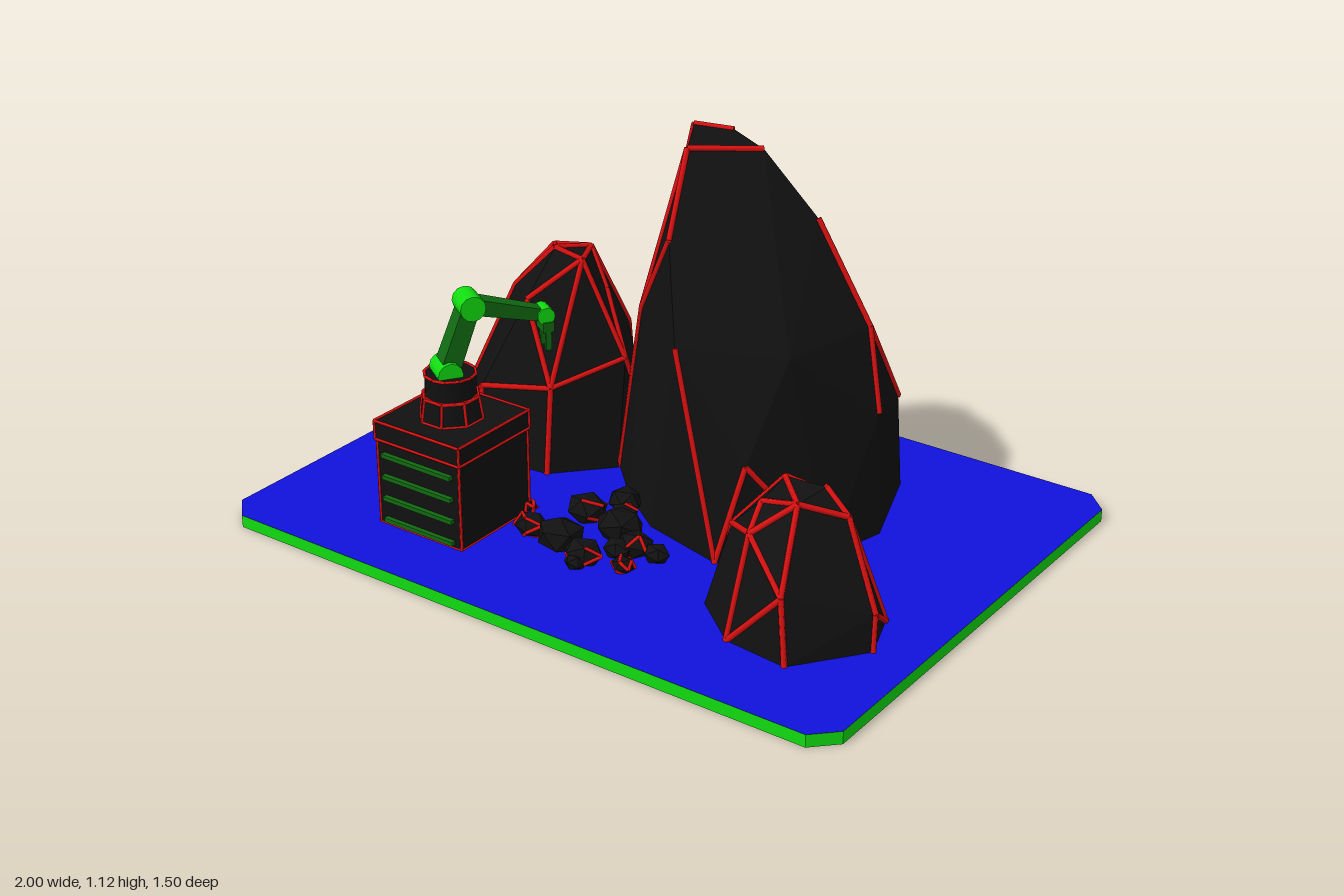
import * as THREE from 'three';
import { mergeGeometries } from 'three/addons/utils/BufferGeometryUtils.js';
import { ConvexGeometry } from 'three/addons/geometries/ConvexGeometry.js';

const mat = (name, color) => Object.assign(new THREE.MeshStandardMaterial({ color }), { name });
const V = (x, y, z) => new THREE.Vector3(x, y, z);
const FLOOR = 0.036;

function seeded(seed) {
  return () => {
    seed = (seed * 16807) % 2147483647;
    return seed / 2147483647;
  };
}

// Slim rod between two points
function rod(a, b, r, sides = 5) {
  const dir = b.clone().sub(a);
  const geo = new THREE.CylinderGeometry(r, r, dir.length(), sides);
  geo.applyQuaternion(new THREE.Quaternion().setFromUnitVectors(V(0, 1, 0), dir.normalize()));
  const mid = a.clone().add(b).multiplyScalar(0.5);
  return geo.translate(mid.x, mid.y, mid.z);
}

// Rods along the sharp edges of a geometry, leaving some out
function edgeRods(geo, r, angle, keep = 1, seed = 1, minY = -10) {
  const p = new THREE.EdgesGeometry(geo, angle).attributes.position;
  const rnd = seeded(seed);
  const rods = [];
  for (let i = 0; i < p.count; i += 2) {
    const a = new THREE.Vector3().fromBufferAttribute(p, i);
    const b = new THREE.Vector3().fromBufferAttribute(p, i + 1);
    if (rnd() > keep || Math.max(a.y, b.y) < minY) continue;
    rods.push(rod(a, b, r));
  }
  return mergeGeometries(rods);
}

export function createModel() {
  const model = new THREE.Group();
  model.name = 'miningDiorama';
  const black = mat('black', 0x111111);
  const red = mat('red', 0xdd1111);
  const green = mat('green', 0x11dd11);
  const darkGreen = mat('darkGreen', 0x116a11);
  const blue = mat('blue', 0x1111dd);

  const add = (parent, name, geo, material, x = 0, y = 0, z = 0) => {
    const mesh = new THREE.Mesh(geo, material);
    mesh.name = name;
    mesh.position.set(x, y, z);
    parent.add(mesh);
    return mesh;
  };

  // Base plate with clipped corners: green rim, black underside, blue top
  const c = 0.065;
  const outline = new THREE.Shape([
    [-1 + c, -0.75], [1 - c, -0.75], [1, -0.75 + c], [1, 0.75 - c],
    [1 - c, 0.75], [-1 + c, 0.75], [-1, 0.75 - c], [-1, -0.75 + c],
  ].map(([x, y]) => new THREE.Vector2(x, y)));
  add(model, 'basePlate', new THREE.ExtrudeGeometry(outline, { depth: FLOOR, bevelEnabled: false })
    .rotateX(-Math.PI / 2), [black, green]);
  add(model, 'groundSurface', new THREE.ShapeGeometry(outline).rotateX(-Math.PI / 2), blue, 0, FLOOR + 0.001, 0);

  // Faceted boulder: footprint [x, z] plus upper corners [x, y, z], with glowing cracks on its edges
  const boulder = (name, foot, upper, keep, seed) => {
    const group = new THREE.Group();
    group.name = name;
    const pts = foot.map(([x, z]) => V(x, FLOOR, z)).concat(upper.map((p) => V(...p)));
    const geo = new ConvexGeometry(pts);
    add(group, name + 'Stone', geo, black);
    add(group, name + 'Cracks', edgeRods(geo, 0.0085, 9, keep, seed, 0.06), red);
    model.add(group);
  };

  boulder('largeRock', [
    [-0.26, -0.11], [-0.275, -0.29], [-0.16, -0.45], [0.19, -0.575], [0.34, -0.585], [0.46, -0.49],
    [0.565, -0.2], [0.52, -0.02], [0.29, 0.2], [0.03, 0.135], [-0.13, 0.02],
  ], [
    [0.3, 0.285, -0.58], [0.48, 0.35, -0.42], [0.35, 0.32, 0.145], [0.55, 0.4, -0.2],
    [-0.215, 0.52, -0.21], [-0.07, 0.64, 0.035], [0.14, 0.62, 0.175], [0.5, 0.636, -0.22],
    [0.4, 0.6, 0.02], [-0.14, 0.6, -0.39], [0.225, 0.62, -0.45],
    [-0.107, 0.925, -0.2], [0.06, 0.88, 0.09], [0.34, 0.915, -0.2], [0.1, 0.91, -0.335],
    [-0.05, 1.108, -0.18], [0.03, 1.095, -0.035], [0.19, 1.09, -0.16], [0.06, 1.105, -0.21],
  ], 0.6, 7919);

  boulder('leftRock', [
    [-0.82, -0.07], [-0.78, -0.24], [-0.72, -0.33], [-0.42, -0.405], [-0.27, -0.28],
    [-0.257, -0.1], [-0.4, 0.055], [-0.635, 0.08],
  ], [
    [-0.797, 0.19, -0.1], [-0.63, 0.26, 0.06], [-0.275, 0.36, -0.16], [-0.4, 0.3, 0.03],
    [-0.65, 0.51, -0.13], [-0.615, 0.42, -0.31], [-0.4, 0.38, -0.345], [-0.37, 0.54, -0.2],
    [-0.52, 0.53, -0.02], [-0.55, 0.64, -0.19], [-0.5, 0.66, -0.13], [-0.41, 0.64, -0.14], [-0.44, 0.65, -0.22],
  ], 0.8, 4241);

  boulder('rightRock', [
    [0.375, 0.3], [0.41, 0.2], [0.66, 0.1], [0.82, 0.19], [0.873, 0.34], [0.73, 0.53], [0.54, 0.51], [0.39, 0.39],
  ], [
    [0.87, 0.14, 0.33], [0.65, 0.17, 0.12], [0.7, 0.21, 0.505], [0.42, 0.25, 0.31], [0.46, 0.26, 0.21],
    [0.765, 0.37, 0.3], [0.56, 0.32, 0.44], [0.64, 0.35, 0.19],
    [0.555, 0.41, 0.27], [0.685, 0.422, 0.28], [0.67, 0.415, 0.39], [0.55, 0.38, 0.37],
  ], 0.8, 977);

  // Loose rubble: [x, z, radius]
  const rubble = new THREE.Group();
  rubble.name = 'rubble';
  const rnd = seeded(331);
  [
    [-0.14, 0.2, 0.065], [-0.09, 0.09, 0.055], [-0.05, 0.15, 0.045], [0, 0.235, 0.075], [0.085, 0.28, 0.055],
    [0.155, 0.28, 0.042], [-0.215, 0.355, 0.052], [-0.1, 0.37, 0.075], [0, 0.4, 0.06], [0.055, 0.32, 0.045],
    [0.115, 0.375, 0.036], [0, 0.435, 0.035], [-0.305, 0.255, 0.026],
  ].forEach(([x, z, r], i) => {
    const geo = new THREE.IcosahedronGeometry(r, 0)
      .rotateX(rnd() * 3).rotateY(rnd() * 3).scale(1, 0.7, 0.85);
    const y = FLOOR + r * 0.5;
    add(rubble, 'rubbleStone', geo, black, x, y, z);
    if (i % 2 === 0) add(rubble, 'rubbleCrack', edgeRods(geo, 0.005, 10, 0.2, 50 + i * 977), red, x, y, z);
  });
  model.add(rubble);

  // Machine housing: stacked blocks outlined in red
  const machine = new THREE.Group();
  machine.name = 'machine';
  machine.position.set(-0.45, 0, 0.4);
  model.add(machine);
  const outlined = (name, geo, y, angle = 30) => {
    add(machine, name, geo, black, 0, y, 0);
    add(machine, name + 'Trim', edgeRods(geo, 0.0045, angle), red, 0, y, 0);
  };
  outlined('housing', new THREE.BoxGeometry(0.292, 0.255, 0.292), FLOOR + 0.1275);
  outlined('housingCap', new THREE.BoxGeometry(0.3, 0.055, 0.3), 0.32);
  outlined('pedestal', new THREE.CylinderGeometry(0.08, 0.09, 0.065, 8).rotateY(Math.PI / 8), 0.38);
  outlined('turntable', new THREE.CylinderGeometry(0.072, 0.072, 0.065, 12), 0.445, 50);
  for (let i = 0; i < 4; i++) {
    add(machine, 'ventSlat', new THREE.BoxGeometry(0.245, 0.012, 0.016), darkGreen, 0, 0.054 + i * 0.066, 0.152);
  }

  // Robot arm, reaching along its own +x
  const arm = new THREE.Group();
  arm.name = 'robotArm';
  arm.rotation.y = 0.99;
  machine.add(arm);
  const link = (name, a, b, height, width, tip) => {
    const d = b.clone().sub(a);
    const geo = new THREE.CylinderGeometry(tip, 1, d.length(), 4, 1).rotateY(Math.PI / 4)
      .scale(height / Math.SQRT2, 1, width / Math.SQRT2).toNonIndexed();
    geo.computeVertexNormals();
    const mid = a.clone().add(b).multiplyScalar(0.5);
    add(arm, name, geo, darkGreen, mid.x, mid.y, mid.z).rotation.z = Math.atan2(d.y, d.x) - Math.PI / 2;
  };
  const joint = (name, p, r, w) =>
    add(arm, name, new THREE.CylinderGeometry(r, r, w, 12).rotateX(Math.PI / 2), green, p.x, p.y, p.z);
  const shoulder = V(-0.01, 0.485, 0), elbow = V(0.06, 0.67, 0), wrist = V(0.27, 0.61, 0);
  joint('shoulderJoint', shoulder, 0.036, 0.09);
  joint('elbowJoint', elbow, 0.036, 0.085);
  joint('wristJoint', wrist, 0.025, 0.055);
  link('upperArm', shoulder, elbow, 0.055, 0.066, 0.9);
  link('forearm', elbow, wrist, 0.046, 0.056, 0.75);

  // Gripper hanging from the wrist
  add(arm, 'gripperPalm', new THREE.BoxGeometry(0.032, 0.03, 0.06), darkGreen, 0.275, 0.578, 0);
  for (const s of [-1, 1]) {
    add(arm, 'gripperFinger', new THREE.BoxGeometry(0.016, 0.06, 0.012), darkGreen, 0.275, 0.54, s * 0.023);
  }
  return model;
}
